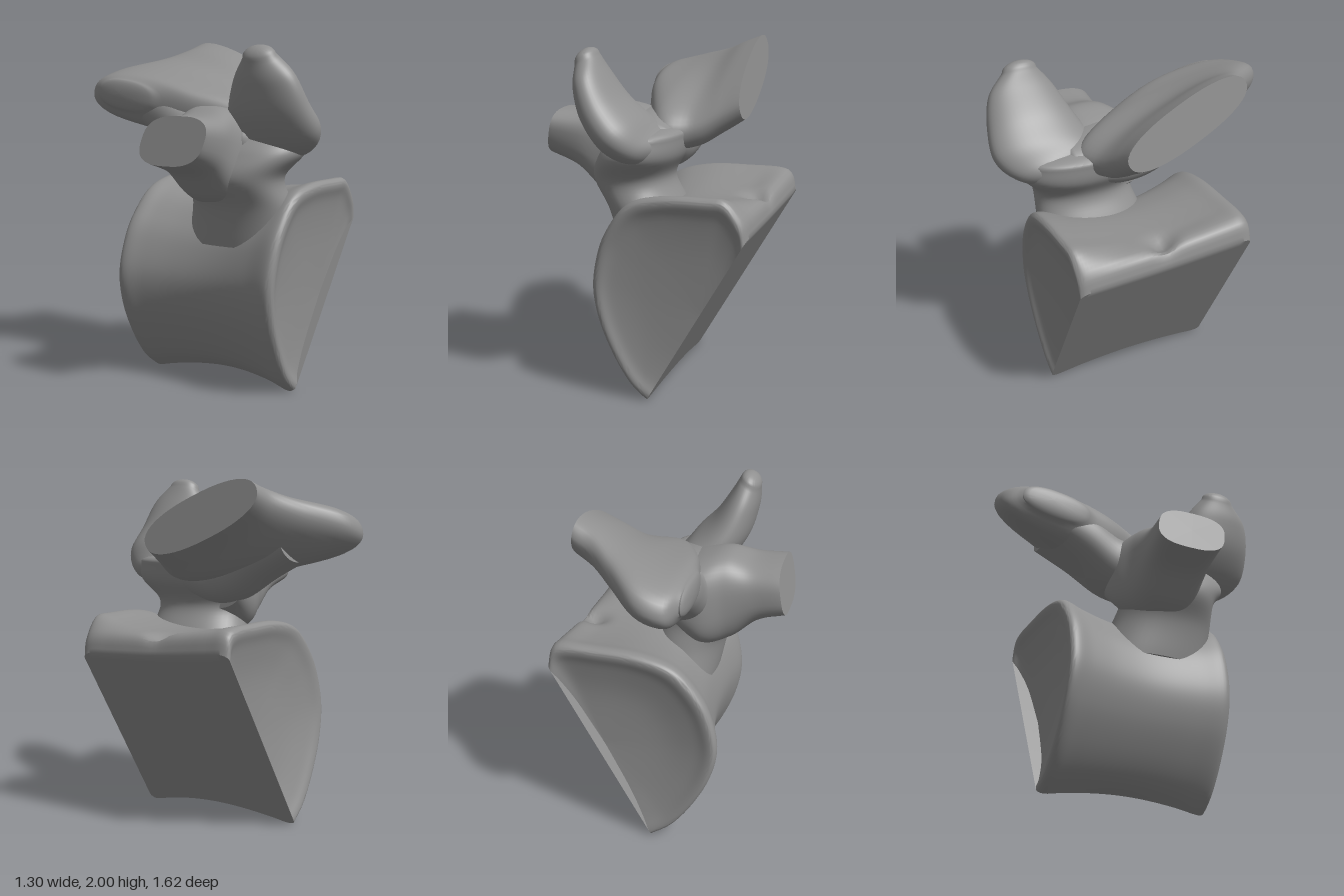
import * as THREE from 'three';
import { mergeVertices, toCreasedNormals } from 'three/addons/utils/BufferGeometryUtils.js';

const V = (x, y, z) => new THREE.Vector3(x, y, z);
const material = new THREE.MeshStandardMaterial({ color: 0x909090 });

// Closed surface through a list of rings with equal point counts, ends fanned shut.
function skin(rings, crease) {
  const n = rings[0].length;
  const pts = rings.flat();
  const index = [];
  const middle = ring => ring.reduce((s, p) => s.add(p), V(0, 0, 0)).divideScalar(n);
  const first = pts.push(middle(rings[0])) - 1;
  const last = pts.push(middle(rings[rings.length - 1])) - 1;
  const end = (rings.length - 1) * n;
  for (let j = 0; j < n; j++) {
    const k = (j + 1) % n;
    for (let i = 0; i < end; i += n) index.push(i + j, i + k, i + n + j, i + k, i + n + k, i + n + j);
    index.push(first, k, j, last, end + j, end + k);
  }
  // Signed volume decides which way the faces must wind.
  let volume = 0;
  for (let i = 0; i < index.length; i += 3) {
    const [a, b, c] = [0, 1, 2].map(k => pts[index[i + k]]);
    volume += a.dot(b.clone().cross(c));
  }
  if (volume < 0) index.reverse();
  const geometry = new THREE.BufferGeometry().setFromPoints(pts);
  geometry.setIndex(index);
  return toCreasedNormals(mergeVertices(geometry, 1e-4), crease);
}

// Smooth loft of oval sections, each [centre, half axis a, half axis b];
// power < 1 squares the oval, roundStart / roundEnd are dome lengths (0 = flat cut).
function loft(sections, { power = 1, roundStart = 0, roundEnd = 0 } = {}) {
  const curves = [0, 1, 2].map(k =>
    new THREE.CatmullRomCurve3(sections.map(s => V(...s[k])), false, 'catmullrom', 0.5));
  const bend = v => Math.sign(v) * Math.abs(v) ** power;
  const ring = (t, scale = 1, shift = V(0, 0, 0)) => {
    const [c, a, b] = curves.map(curve => curve.getPoint(t));
    return Array.from({ length: 48 }, (_, j) => {
      const u = j / 48 * Math.PI * 2;
      return c.clone().add(shift)
        .addScaledVector(a, bend(Math.cos(u)) * scale)
        .addScaledVector(b, bend(Math.sin(u)) * scale);
    });
  };
  const dome = (t, length) => [1, 2, 3, 4, 5, 6].map(i => {
    const u = i / 6.3 * Math.PI / 2;
    const out = curves[0].getTangent(t).multiplyScalar((t ? 1 : -1) * length * Math.sin(u));
    return ring(t, Math.cos(u), out);
  });
  const rings = Array.from({ length: 33 }, (_, i) => ring(i / 32));
  if (roundStart) rings.unshift(...dome(0, roundStart).reverse());
  if (roundEnd) rings.push(...dome(1, roundEnd));
  return skin(rings, 0.8);
}

// Spool-shaped block, cut by a slanted plane, with dished ends and a narrow waist.
function bodyGeometry() {
  const outline = new THREE.SplineCurve([
    [0.02, 0], [-0.1, 0.09], [-0.22, 0.25], [-0.32, 0.45], [-0.36, 0.65], [-0.32, 0.85],
    [-0.24, 1.0], [-0.1, 1.14], [0.1, 1.2], [0.35, 1.21], [0.6, 1.195], [0.65, 1.07],
  ].map(p => new THREE.Vector2(...p))).getSpacedPoints(80);
  const cut = new THREE.LineCurve(outline[80], outline[0]).getPoints(24).slice(1, -1);
  const section = [...outline, ...cut];
  // [scale about the middle of the cut, z]
  const profile = new THREE.SplineCurve([
    [0.02, 0.57], [0.5, 0.58], [0.8, 0.6], [0.93, 0.625], [0.985, 0.615], [1, 0.57],
    [0.94, 0.43], [0.895, 0.25], [0.885, 0.08], [0.91, -0.1], [0.96, -0.27], [1, -0.37],
    [0.985, -0.415], [0.93, -0.42], [0.8, -0.39], [0.5, -0.35], [0.02, -0.33],
  ].map(p => new THREE.Vector2(...p))).getPoints(80);
  const rings = profile.map(({ x: waist, y: z }) => section.map(p => {
    // The upper cut corner narrows toward the front
    const corner = THREE.MathUtils.smoothstep(p.x, 0.45, 0.65);
    const s = waist * (1 + corner * (0.05 - 0.057 * z - 0.454 * z * z));
    let x = 0.335 + (p.x - 0.335) * s;
    let y = 0.535 + (p.y - 0.535) * s;
    if (x < 0) x *= 1 - 0.2 * (z + 0.4);
    // Small pit in the upper surface
    if (p.y > 1.1) y -= 0.06 * Math.exp(-(((x - 0.53) / 0.07) ** 2) - ((z - 0.09) / 0.07) ** 2);
    return V(x, y, z + 0.05 * y - 0.04);
  }));
  return skin(rings, 0.7);
}

export function createModel() {
  const model = new THREE.Group();
  const add = (name, geometry) => {
    const mesh = new THREE.Mesh(geometry, material);
    mesh.name = name;
    model.add(mesh);
  };

  add('vertebralBody', bodyGeometry());

  // Neck rising from the body and flaring into the arch
  add('pedicle', loft([
    [[0.0, 0.85, 0.22], [0.22, 0, 0], [0, 0, 0.34]],
    [[-0.06, 1.08, 0.27], [0.21, 0, 0], [0, 0, 0.31]],
    [[-0.14, 1.25, 0.28], [0.22, 0, 0], [0, 0, 0.29]],
    [[-0.08, 1.39, 0.28], [0.23, 0, 0], [0, 0, 0.39]],
    [[-0.03, 1.5, 0.24], [0.2, 0, 0], [0, 0, 0.41]],
  ], { power: 0.9, roundEnd: 0.06 }));

  // Saddle joining the neck to the sloping rear plate
  add('archSaddle', loft([
    [[-0.07, 1.46, 0.4], [0.2, 0, 0], [0, 0.12, 0]],
    [[-0.07, 1.45, 0.25], [0.23, 0, 0], [0, 0.16, 0]],
    [[-0.05, 1.44, 0.08], [0.21, 0, 0], [0, 0.18, 0]],
    [[-0.02, 1.47, -0.06], [0.19, 0, 0], [0, 0.17, 0.03]],
    [[-0.01, 1.58, -0.24], [0.2, 0, 0], [0, 0.16, 0.04]],
    [[0.0, 1.66, -0.45], [0.2, 0, 0], [0, 0.13, 0.03]],
  ], { power: 0.9, roundStart: 0.06 }));

  // Side wing ending in a flat, tilted cut
  add('transverseWing', loft([
    [[0.02, 1.4, 0.18], [0, 0.17, 0], [0, 0, 0.27]],
    [[-0.15, 1.36, 0.17], [0, 0.27, 0], [0, 0, 0.26]],
    [[-0.3, 1.39, 0.19], [0.02, 0.26, 0], [0, 0, 0.22]],
    [[-0.45, 1.44, 0.205], [0.03, 0.17, 0.02], [0, 0, 0.21]],
    [[-0.62, 1.475, 0.2], [0.03, 0.135, 0.03], [0, 0, 0.215]],
  ], { power: 0.72 }));

  // Upright blade leaning outward at the front
  add('frontArticularBlade', loft([
    [[-0.315, 1.93, 0.555], [0.06, 0.03, 0], [0, 0, 0.1]],
    [[-0.285, 1.82, 0.565], [0.08, 0.05, 0], [0, 0, 0.19]],
    [[-0.215, 1.66, 0.545], [0.1, 0.07, 0], [0, 0, 0.255]],
    [[-0.1, 1.52, 0.51], [0.09, 0.1, 0], [0, 0, 0.3]],
    [[0.01, 1.44, 0.41], [0.05, 0.1, 0], [0, 0, 0.3]],
    [[0.1, 1.43, 0.28], [0.03, 0.08, 0], [0, 0, 0.25]],
  ], { power: 0.95, roundStart: 0.055, roundEnd: 0.05 }));

  // Sloping plate from the rear lobe to the flat midline cut
  add('laminaAndRearLobe', loft([
    [[-0.21, 1.69, -0.47], [0, 0.09, 0.02], [0, 0.03, -0.22]],
    [[-0.14, 1.66, -0.39], [0, 0.14, 0.04], [0, 0.06, -0.4]],
    [[0.02, 1.63, -0.21], [0, 0.165, 0.05], [0, 0.14, -0.57]],
    [[0.2, 1.66, -0.14], [0, 0.15, 0.06], [0, 0.18, -0.46]],
    [[0.34, 1.73, -0.1], [-0.01, 0.13, 0.06], [-0.01, 0.175, -0.385]],
    [[0.455, 1.79, -0.09], [-0.015, 0.115, 0.06], [-0.015, 0.165, -0.36]],
  ], { power: 0.85, roundStart: 0.05 }));

  return model;
}
